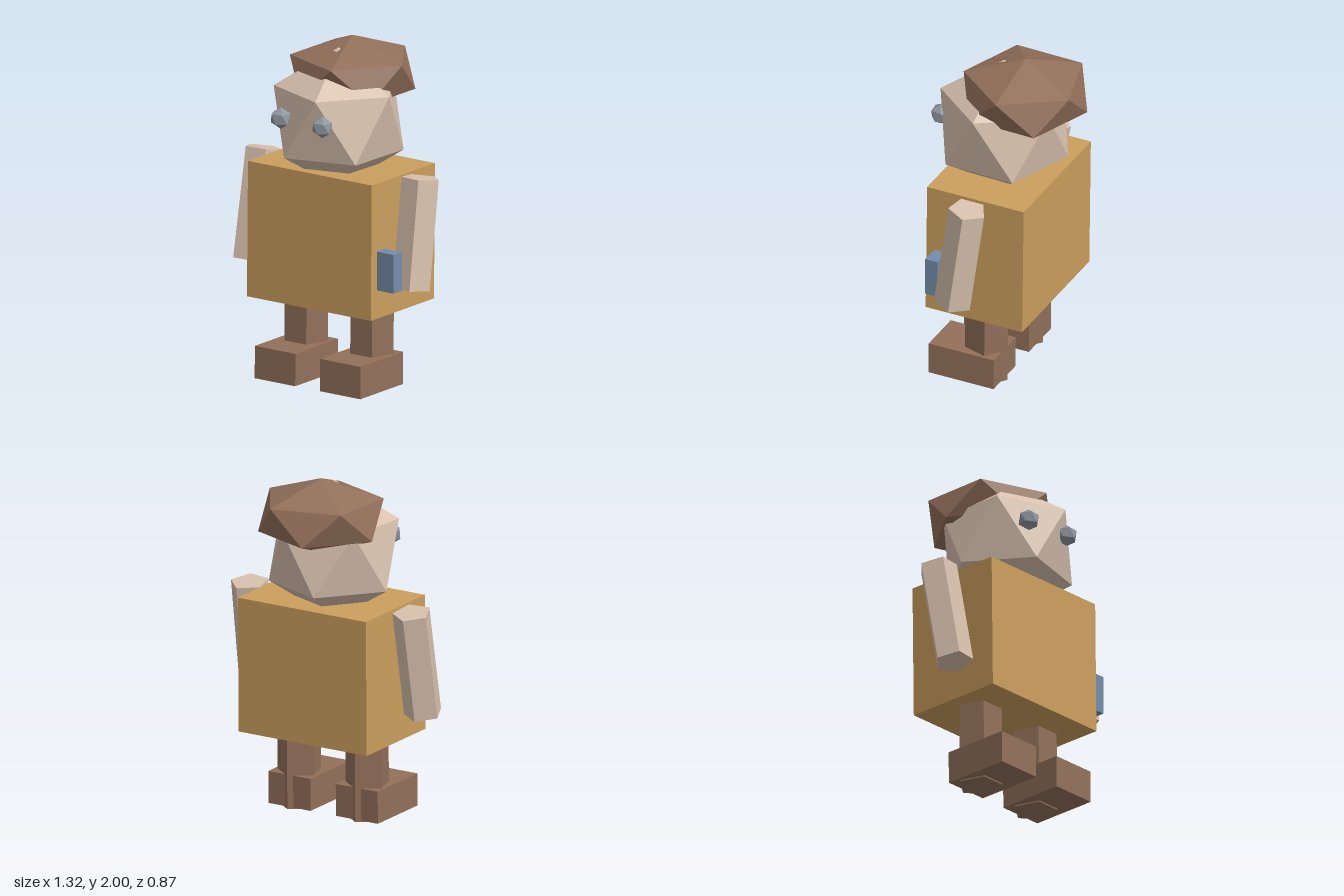
import * as THREE from 'three';

const mat = (name, color) => {
  const m = new THREE.MeshStandardMaterial({ color, flatShading: true });
  m.name = name;
  return m;
};

export function createModel() {
  const skin = mat('skin', 0xd8c1ae);
  const brown = mat('brown', 0x92705a);
  const shirt = mat('ochre', 0xcb9f5d);
  const steel = mat('steel grey', 0x8d969f);
  const blue = mat('slate blue', 0x758cab);

  const model = new THREE.Group();
  model.name = 'figure';
  const add = (parent, name, geometry, material, x, y, z) => {
    const mesh = new THREE.Mesh(geometry, material);
    mesh.name = name;
    mesh.position.set(x, y, z);
    parent.add(mesh);
    return mesh;
  };

  // Icosahedron standing on a corner; one upper-ring corner sits at `angle` from +x towards +z
  const gem = (radius, angle, squash = 1) =>
    new THREE.IcosahedronGeometry(radius, 0)
      .rotateZ(Math.atan(2 / (1 + Math.sqrt(5))))
      .rotateY(THREE.MathUtils.degToRad(36 - angle))
      .scale(1, squash, 1);

  // Torso, legs and feet share a very slight lean and turn
  const lower = new THREE.Group();
  lower.name = 'bodyAndLegs';
  lower.rotation.set(-0.012, -0.018, 0);
  model.add(lower);
  add(lower, 'torso', new THREE.BoxGeometry(0.867, 0.795, 0.608), shirt, 0, 0.877, 0.03);

  for (const [side, s] of [['left', 1], ['right', -1]]) {
    // Five-sided leg with a flat front and a ridge at the back
    const leg = add(lower, side + 'Leg', new THREE.CylinderGeometry(0.129, 0.129, 0.55, 5), brown, s * 0.23, 0.278, 0.041);
    leg.rotation.y = Math.PI;
    add(lower, side + 'Foot', new THREE.BoxGeometry(0.284, 0.19, 0.41), brown, s * 0.228, 0.106, 0.137);

    // Five-sided arm, its lower end swung forward
    const arm = add(model, side + 'Arm', new THREE.CylinderGeometry(0.112, 0.112, 0.64, 5), skin, s * 0.55, 0.956, 0.06);
    arm.rotation.set(s > 0 ? -0.14 : -0.195, THREE.MathUtils.degToRad(s > 0 ? 171 : 185), 0);
  }

  // Small block carried at the left hip
  const block = add(model, 'hipBlock', new THREE.BoxGeometry(0.2, 0.228, 0.078), blue, 0.449, 0.765, 0.24);
  block.rotation.y = -0.04;

  // Head, squashed cap of hair and bead eyes
  add(model, 'head', gem(0.412, 4), skin, 0, 1.545, 0.043);
  add(model, 'hair', gem(0.398, 3.4, 0.545), brown, 0.003, 1.783, -0.09);
  add(model, 'leftEye', gem(0.064, 50), steel, 0.123, 1.585, 0.38);
  add(model, 'rightEye', gem(0.064, 50), steel, -0.178, 1.585, 0.36);

  return model;
}
